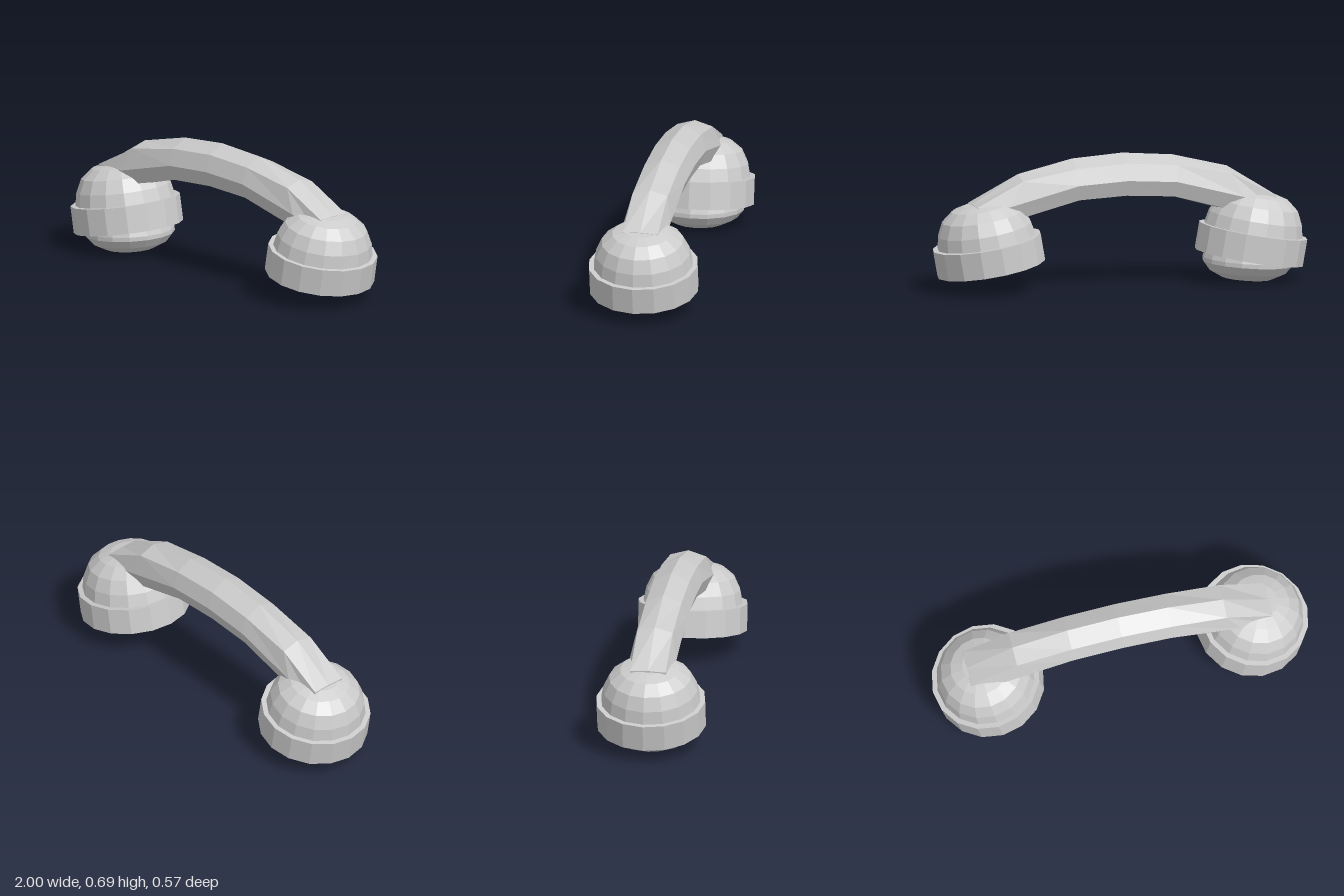
import * as THREE from 'three';

const SIDES = 16;
const TILT = THREE.MathUtils.degToRad(10);
const material = new THREE.MeshStandardMaterial({ color: 0xcccccc, flatShading: true });

function addMesh(parent, name, geometry) {
  const mesh = new THREE.Mesh(geometry, material);
  mesh.name = name;
  parent.add(mesh);
  return mesh;
}

function lathe(points) {
  return new THREE.LatheGeometry(points.map(([r, y]) => new THREE.Vector2(r, y)), SIDES);
}

// Faceted arched grip, lofted through mirrored eight-sided sections
function gripGeometry() {
  // Each section: [x, y, z] of ridge, shoulder, side, lower edge, underside centre
  const half = [
    [[0, 0.695, 0], [0, 0.65, 0.093], [0, 0.563, 0.122], [0, 0.482, 0.093], [0, 0.476, 0]],
    [[0.27, 0.675, 0], [0.268, 0.632, 0.093], [0.264, 0.547, 0.122], [0.255, 0.468, 0.093], [0.255, 0.46, 0]],
    [[0.562, 0.605, 0], [0.56, 0.578, 0.093], [0.63, 0.452, 0.122], [0.56, 0.388, 0.093], [0.555, 0.375, 0]],
    [[0.805, 0.454, 0], [0.805, 0.45, 0.093], [0.8, 0.37, 0.105], [0.78, 0.3, 0.08], [0.78, 0.29, 0]],
  ];
  const mirrored = half.slice(1).reverse().map((s) => s.map(([x, y, z]) => [-x, y, z]));
  const rings = [...mirrored, ...half].map((s) => [
    ...s, ...[3, 2, 1].map((k) => [s[k][0], s[k][1], -s[k][2]]),
  ]);
  const n = 8;
  const last = (rings.length - 1) * n;
  const index = [];
  for (let i = 0; i < rings.length - 1; i++) {
    for (let j = 0; j < n; j++) {
      const a = i * n + j, b = i * n + (j + 1) % n;
      index.push(a, b, b + n, a, b + n, a + n);
    }
  }
  // End caps
  for (let j = 1; j < n - 1; j++) {
    index.push(0, j + 1, j, last, last + j, last + j + 1);
  }
  const geometry = new THREE.BufferGeometry();
  geometry.setAttribute('position', new THREE.Float32BufferAttribute(rings.flat(2), 3));
  geometry.setIndex(index);
  const flat = geometry.toNonIndexed();
  flat.computeVertexNormals();
  return flat;
}

export function createModel() {
  const handset = new THREE.Group();
  handset.name = 'handset';

  addMesh(handset, 'grip', gripGeometry()).position.x = -0.012;

  // Tilted cups at both ends: wide collar with a rounded dome on top
  for (const side of [-1, 1]) {
    const cup = new THREE.Group();
    cup.name = side < 0 ? 'mouthCup' : 'earCup';
    cup.position.set(side * 0.705, 0.19, 0);
    cup.rotation.z = -side * TILT;
    addMesh(cup, 'collar', new THREE.CylinderGeometry(0.286, 0.286, 0.142, SIDES));
    addMesh(cup, 'dome', lathe([
      [0.26, 0], [0.247, 0.066], [0.214, 0.135], [0.155, 0.182], [0.09, 0.2], [0, 0.203],
    ])).position.y = 0.071;
    handset.add(cup);
  }

  // Rounded mouthpiece bulging below one collar
  const mouthpiece = addMesh(handset, 'mouthpiece', lathe([
    [0, 0], [0.13, 0], [0.2, 0.035], [0.235, 0.078], [0.236, 0.1], [0.22, 0.16], [0, 0.18],
  ]));
  mouthpiece.position.set(-0.68, 0.0115, 0);
  mouthpiece.rotation.z = THREE.MathUtils.degToRad(4);

  return handset;
}
